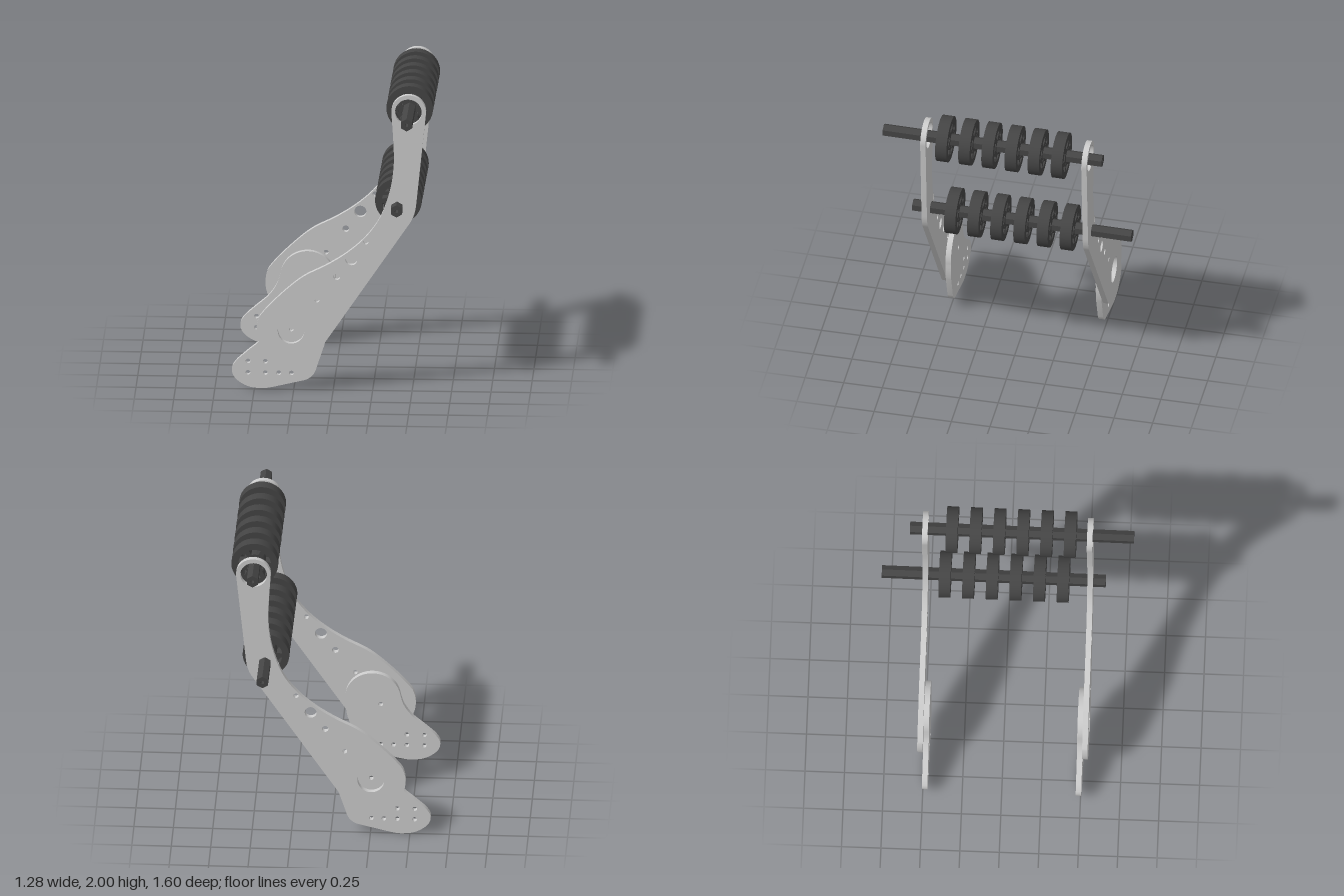
import * as THREE from 'three';
import { toCreasedNormals } from 'three/addons/utils/BufferGeometryUtils.js';

const PLATE = 0.035;
const grey = new THREE.MeshStandardMaterial({ color: 0xcccccc });
const dark = new THREE.MeshStandardMaterial({ color: 0x444444 });

const points = (list) => list.map(([x, y]) => new THREE.Vector2(x, y));

function drill(shape, x, y, r) {
  shape.holes.push(new THREE.Path().absarc(x, y, r, 0, Math.PI * 2, true));
}

// Extrudes a front-facing outline, centred on z = 0
function extrude(shape, depth, curveSegments) {
  const geometry = new THREE.ExtrudeGeometry(shape, { depth, curveSegments, bevelEnabled: false });
  return toCreasedNormals(geometry.translate(0, 0, -depth / 2), 0.6);
}

function addMesh(parent, name, geometry, material, x, y, z) {
  const mesh = new THREE.Mesh(geometry, material);
  mesh.name = name;
  mesh.position.set(x, y, z);
  parent.add(mesh);
}

// Bent arm: round top end, swept left edge, large round lower end
function armShape() {
  const s = new THREE.Shape();
  s.absarc(0.485, 1.86, 0.11, -0.1, Math.PI, false);
  s.splineThru(points([
    [0.388, 1.66], [0.39, 1.5], [0.365, 1.33], [0.305, 1.16], [0.215, 1.03],
    [0.1, 0.925], [-0.03, 0.84], [-0.17, 0.767], [-0.27, 0.69], [-0.39, 0.575], [-0.459, 0.494],
  ]));
  s.absarc(-0.26, 0.4, 0.22, 2.7, 5.69, false);
  s.lineTo(0.49, 1.12);
  s.quadraticCurveTo(0.525, 1.17, 0.532, 1.24);
  [
    [0.483, 1.858, 0.085], [0.408, 1.235, 0.085], [-0.26, 0.4, 0.085],
    [-0.095, 0.605, 0.015], [0.03, 0.762, 0.021], [0.122, 0.878, 0.038], [0.215, 0.995, 0.016],
  ].forEach(([x, y, r]) => drill(s, x, y, r));
  return s;
}

// Foot plate: round head behind the arm, narrowing into a rounded toe
function footShape() {
  const s = new THREE.Shape();
  s.absarc(-0.21, 0.445, 0.175, -0.15, 2.9, false);
  s.splineThru(points([[-0.405, 0.4], [-0.46, 0.32], [-0.54, 0.25], [-0.61, 0.185], [-0.637, 0.13],
    [-0.615, 0.07], [-0.54, 0.02], [-0.45, 0.006], [-0.38, 0.015]]));
  s.lineTo(-0.185, 0.062);
  s.quadraticCurveTo(-0.13, 0.075, -0.108, 0.125);
  s.lineTo(-0.05, 0.3);
  s.quadraticCurveTo(-0.035, 0.36, -0.037, 0.419);
  [[-0.535, 0.185], [-0.425, 0.185], [-0.535, 0.11], [-0.425, 0.11], [-0.34, 0.11], [-0.26, 0.11], [-0.26, 0.4]]
    .forEach(([x, y]) => drill(s, x, y, 0.015));
  return s;
}

// Wheel: thick rim joined to a hub by six short spokes
function wheelShape() {
  const s = new THREE.Shape();
  s.absarc(0, 0, 0.148, 0, Math.PI * 2, false);
  for (let i = 0; i < 6; i++) {
    const a = (i + 0.5) * Math.PI / 3;
    const slot = new THREE.Path();
    slot.absarc(0, 0, 0.104, a - 0.38, a + 0.38, false);
    slot.absarc(0, 0, 0.07, a + 0.3, a - 0.3, true);
    slot.closePath();
    s.holes.push(slot);
    drill(s, 0.055 * Math.cos(a), 0.055 * Math.sin(a), 0.006);
  }
  drill(s, 0, 0, 0.036);
  return s;
}

// Hexagonal shaft with a small bore
function shaftShape() {
  const s = new THREE.Shape(points([0, 1, 2, 3, 4, 5].map((i) => {
    const a = i * Math.PI / 3 + Math.PI / 6;
    return [0.041 * Math.cos(a), 0.041 * Math.sin(a)];
  })));
  drill(s, 0, 0, 0.011);
  return s;
}

export function createModel() {
  const model = new THREE.Group();
  model.name = 'rollerArmAssembly';

  // Side plates, front and rear
  const arm = extrude(armShape(), PLATE, 16);
  const foot = extrude(footShape(), PLATE, 16);
  for (const [side, sign] of [['front', 1], ['rear', -1]]) {
    addMesh(model, side + 'Arm', arm, grey, 0, 0, sign * 0.5225);
    addMesh(model, side + 'Foot', foot, grey, 0, 0, sign * 0.4875);
  }

  // Rollers: the upper shaft sticks out to the front, the lower to the rear
  const wheel = extrude(wheelShape(), 0.074, 20);
  const shaft = extrude(shaftShape(), 1.42, 8);
  for (const [name, x, y, sign] of [['upper', 0.486, 1.852, 1], ['lower', 0.412, 1.226, -1]]) {
    const roller = new THREE.Group();
    roller.name = name + 'Roller';
    roller.position.set(x, y, 0);
    addMesh(roller, name + 'Shaft', shaft, dark, 0, 0, sign * 0.09);
    for (let i = 0; i < 6; i++) {
      addMesh(roller, name + 'Wheel' + (i + 1), wheel, dark, 0, 0, sign * (0.398 - i * 0.15));
    }
    model.add(roller);
  }

  // The whole assembly leans very slightly
  model.rotation.set(-0.008, -0.01, 0);
  model.position.z = 0.008;
  return model;
}
